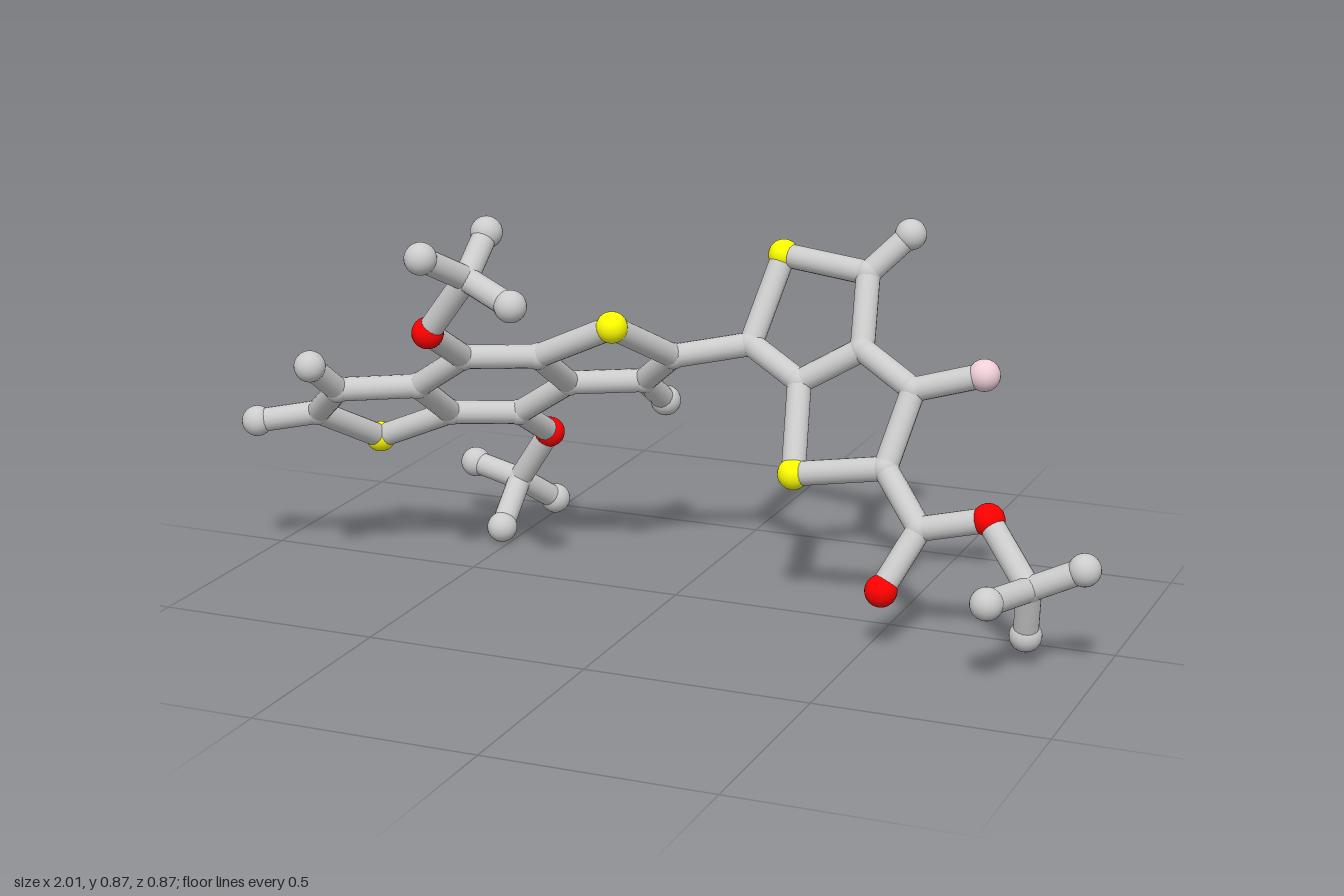
import * as THREE from 'three';

const BOND_R = 0.027, END_R = 0.035, JOINT_R = 0.03;

// Atoms: name -> [x, y, z]. First letter gives the element (c, s, o, f).
const ATOMS = {
  // fused three-ring core
  c1: [-0.97, 0.335, 0.14], c2: [-0.835, 0.36, 0.10], s1: [-0.77, 0.262, -0.075],
  c3: [-0.735, 0.445, 0.185], c4: [-0.75, 0.52, 0.28],
  c5: [-0.58, 0.448, 0.10], c6: [-0.58, 0.345, -0.06],
  c7: [-0.45, 0.335, -0.15], c8: [-0.45, 0.535, 0.13],
  c9: [-0.31, 0.53, 0.045], c10: [-0.31, 0.428, -0.12],
  s2: [-0.125, 0.617, 0.06], c11: [-0.055, 0.516, -0.12],
  c12: [-0.158, 0.43, -0.197], c13: [-0.147, 0.358, -0.297],
  // upper front branch
  o1: [-0.463, 0.622, 0.272], c14: [-0.36, 0.755, 0.29],
  c15: [-0.41, 0.817, 0.40], c16: [-0.355, 0.837, 0.198], c17: [-0.238, 0.715, 0.33],
  // lower back branch
  o2: [-0.437, 0.253, -0.287], c18: [-0.525, 0.123, -0.305],
  c19: [-0.478, 0.051, -0.403], c20: [-0.52, 0.036, -0.195], c21: [-0.653, 0.142, -0.332],
  // tilted two-ring unit
  c22: [0.11, 0.548, -0.17], s3: [0.145, 0.73, -0.28], c23: [0.357, 0.716, -0.24],
  c24: [0.438, 0.80, -0.285], c25: [0.38, 0.57, -0.14], c26: [0.245, 0.49, -0.115],
  s4: [0.278, 0.318, 0.008], c27: [0.487, 0.355, 0.01], c28: [0.518, 0.51, -0.077],
  f1: [0.67, 0.554, -0.092],
  // right-hand branch
  c29: [0.59, 0.255, 0.085], o3: [0.533, 0.135, 0.163], o4: [0.74, 0.294, 0.085],
  c30: [0.852, 0.18, 0.16], c31: [0.966, 0.235, 0.154],
  c32: [0.838, 0.065, 0.123], c33: [0.803, 0.188, 0.30],
};

// Each chain links its atoms in order.
const CHAINS = {
  coreBond: ['c1 c2 c3 c4', 'c2 s1 c6 c5 c3', 'c6 c7 c10 c9 c8 c5', 'c9 s2 c11 c12 c10', 'c12 c13'],
  frontBranchBond: ['c8 o1 c14 c15', 'c16 c14 c17'],
  backBranchBond: ['c7 o2 c18 c19', 'c20 c18 c21'],
  linkBond: ['c11 c22'],
  tiltedUnitBond: ['c22 s3 c23 c25 c26 c22', 'c23 c24', 'c26 s4 c27 c28 c25', 'c28 f1'],
  rightBranchBond: ['c27 c29 o3', 'c29 o4 c30 c31', 'c32 c30 c33'],
};

const ELEMENTS = {
  c: ['carbonBall', 0xcccccc], s: ['sulfurBall', 0xffff00],
  o: ['oxygenBall', 0xff0000], f: ['fluorineBall', 0xf0d0d8],
};

export function createModel() {
  const model = new THREE.Group();
  const position = (name) => new THREE.Vector3(...ATOMS[name]);
  const materials = {};
  for (const key in ELEMENTS) {
    materials[key] = new THREE.MeshStandardMaterial({ color: ELEMENTS[key][1] });
  }
  const ball = new THREE.SphereGeometry(1, 24, 16);
  const rod = new THREE.CylinderGeometry(BOND_R, BOND_R, 1, 16, 1, true);
  const up = new THREE.Vector3(0, 1, 0);
  const linkCount = {};

  // Rods between linked atoms
  for (const [part, chains] of Object.entries(CHAINS)) {
    const group = new THREE.Group();
    group.name = part + 's';
    for (const chain of chains) {
      const names = chain.split(' ');
      for (let i = 1; i < names.length; i++) {
        const a = position(names[i - 1]), b = position(names[i]);
        const mesh = new THREE.Mesh(rod, materials.c);
        mesh.name = part;
        mesh.position.copy(a).lerp(b, 0.5);
        mesh.scale.y = a.distanceTo(b);
        mesh.quaternion.setFromUnitVectors(up, b.sub(a).normalize());
        group.add(mesh);
        for (const n of [names[i - 1], names[i]]) linkCount[n] = (linkCount[n] || 0) + 1;
      }
    }
    model.add(group);
  }

  // Balls: inner carbon joints are nearly flush with the rods
  const balls = new THREE.Group();
  balls.name = 'atomBalls';
  for (const name in ATOMS) {
    const element = name[0];
    const mesh = new THREE.Mesh(ball, materials[element]);
    mesh.name = ELEMENTS[element][0];
    mesh.position.copy(position(name));
    mesh.scale.setScalar(element === 'c' && linkCount[name] > 1 ? JOINT_R : END_R);
    balls.add(mesh);
  }
  model.add(balls);
  return model;
}
